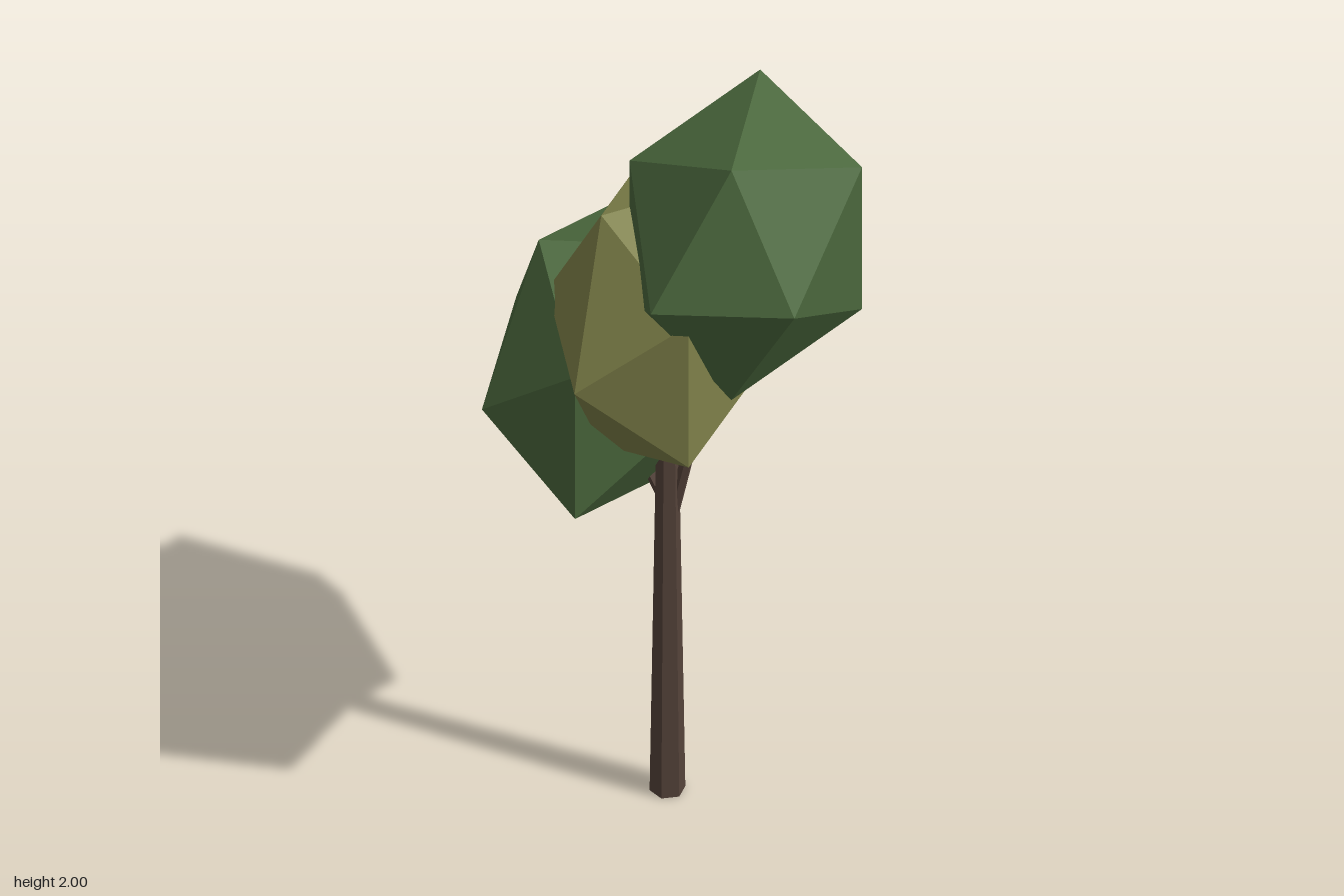
import * as THREE from 'three';

const flat = (name, color) => {
  const m = new THREE.MeshStandardMaterial({ color, flatShading: true });
  m.name = name;
  return m;
};

// Icosahedron with its top edge along (ax, az) and its side points along (bx, bz)
function crown(name, material, centre, [ax, az], [bx, bz]) {
  const t = (1 + Math.sqrt(5)) / 2;
  const geo = new THREE.IcosahedronGeometry(Math.hypot(1, t), 0);
  geo.applyMatrix4(new THREE.Matrix4().makeBasis(
    new THREE.Vector3(ax, 0, az),
    new THREE.Vector3(0, 0.207, 0),
    new THREE.Vector3(bx, 0, bz)
  ));
  const mesh = new THREE.Mesh(geo, material);
  mesh.name = name;
  mesh.position.set(...centre);
  return mesh;
}

// Tapered six-sided limb between two points
function limb(name, material, from, to, r0, r1) {
  const a = new THREE.Vector3(...from), b = new THREE.Vector3(...to);
  const dir = b.clone().sub(a);
  const mesh = new THREE.Mesh(new THREE.CylinderGeometry(r1, r0, dir.length(), 6), material);
  mesh.name = name;
  mesh.position.copy(a).add(b).multiplyScalar(0.5);
  mesh.quaternion.setFromUnitVectors(new THREE.Vector3(0, 1, 0), dir.normalize());
  return mesh;
}

export function createModel() {
  const green = flat('leaf green', 0x4a673c);
  const olive = flat('olive leaf', 0x80824a);
  const bark = flat('bark brown', 0x55433a);

  const tree = new THREE.Group();
  tree.name = 'tree';
  tree.add(
    // Trunk and the two branches that fork off it
    limb('trunk', bark, [0, 0, 0.021], [0, 1.2, 0.021], 0.042, 0.024),
    limb('leftBranch', bark, [0.005, 0.78, 0.012], [0.11, 1.28, 0.01], 0.016, 0.014),
    limb('rightBranch', bark, [0, 0.82, 0.012], [-0.13, 1.0, -0.04], 0.016, 0.013),
    // Three overlapping leaf masses
    crown('upperCrown', green, [0.1925, 1.667, 0.0225], [0.0325, 0.191], [-0.159, 0.048]),
    crown('lowerCrown', green, [-0.1875, 1.151, -0.061], [-0.1425, 0.041], [-0.0337, -0.2138]),
    crown('middleCrown', olive, [0.005, 1.407, 0.0405], [-0.119, 0.1165], [-0.0958, -0.1765])
  );
  return tree;
}
